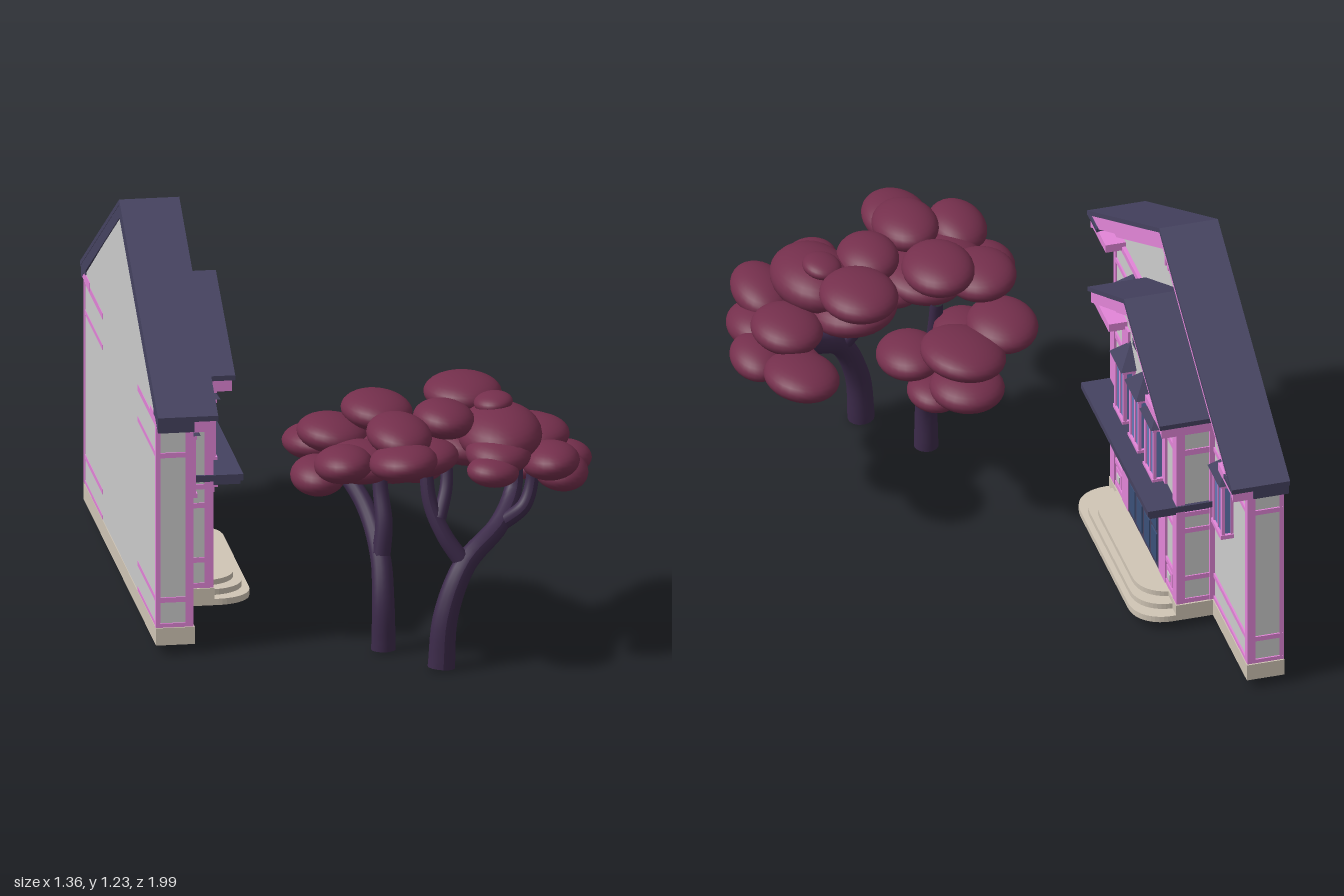
import * as THREE from 'three';

const paint = (color) => new THREE.MeshStandardMaterial({ color });
const wall = paint(0xcccccc), trim = paint(0xe285d8), slate = paint(0x454260), stone = paint(0xd0c5b5);
const glass = paint(0x6478b4), doorBlue = paint(0x3b5078), leaf = paint(0x742f4c), bark = paint(0x3c2a4a);

function add(parent, name, geometry, material) {
  const mesh = new THREE.Mesh(geometry, material);
  mesh.name = name;
  parent.add(mesh);
  return mesh;
}

// Box given by its limits on each axis
function box(parent, name, material, x0, x1, y0, y1, z0, z1) {
  const mesh = add(parent, name, new THREE.BoxGeometry(x1 - x0, y1 - y0, Math.abs(z1 - z0)), material);
  mesh.position.set((x0 + x1) / 2, (y0 + y1) / 2, (z0 + z1) / 2);
  return mesh;
}

// Outline in the facade plane (z, y), extruded from x0 to x1
function facade(parent, name, material, points, x0, x1) {
  const shape = new THREE.Shape(points.map(([u, v]) => new THREE.Vector2(u, v)));
  const geometry = new THREE.ExtrudeGeometry(shape, { depth: x1 - x0, bevelEnabled: false });
  geometry.rotateY(Math.PI / 2).translate(x0, 0, 0);
  return add(parent, name, geometry, material);
}

const chevron = (h, eave, apex, t) =>
  [[-h, eave - t], [0, apex - t], [h, eave - t], [h, eave], [0, apex], [-h, eave]];

const gableWall = (h, bottom, side, apex) =>
  [[-h, bottom], [h, bottom], [h, side], [0, apex], [-h, side]];

// Projecting window with posts, mullion, sill and pointed hood
function windowBay(parent, x, z) {
  const g = new THREE.Group();
  g.name = 'window';
  g.position.set(x, 0, z);
  parent.add(g);
  box(g, 'windowGlass', glass, -0.01, 0.033, 0.45, 0.635, -0.044, 0.044);
  for (const s of [-1, 1]) {
    box(g, 'windowPost', trim, 0.028, 0.038, 0.445, 0.64, s * 0.038, s * 0.052);
    box(g, 'windowBackPost', trim, -0.005, 0.008, 0.445, 0.64, s * 0.038, s * 0.05);
  }
  box(g, 'windowMullion', trim, 0.03, 0.036, 0.45, 0.63, -0.004, 0.004);
  box(g, 'windowSill', trim, -0.01, 0.042, 0.438, 0.452, -0.054, 0.054);
  box(g, 'windowHead', trim, -0.01, 0.04, 0.625, 0.642, -0.054, 0.054);
  const hood = new THREE.ConeGeometry(Math.SQRT1_2, 1, 4, 1).rotateY(Math.PI / 4).toNonIndexed();
  hood.scale(0.1, 0.068, 0.13).translate(0, 0.674, 0);
  hood.computeVertexNormals();
  add(g, 'windowHood', hood, slate);
}

// Rounded porch step seen in plan, reaching out to x1
function porchStep(parent, h, x1, y0, y1) {
  const x0 = -0.57, s = new THREE.Shape();
  s.moveTo(x0, h);
  s.lineTo(x1 - 0.11, h);
  s.bezierCurveTo(x1 - 0.06, h, x1, h - 0.03, x1, h - 0.11);
  s.lineTo(x1, -h + 0.11);
  s.bezierCurveTo(x1, -h + 0.03, x1 - 0.06, -h, x1 - 0.11, -h);
  s.lineTo(x0, -h);
  const geometry = new THREE.ExtrudeGeometry(s, { depth: y1 - y0, bevelEnabled: false, curveSegments: 12 });
  add(parent, 'porchStep', geometry.rotateX(-Math.PI / 2).translate(0, y0, 0), stone);
}

function buildHouse() {
  const house = new THREE.Group();
  house.name = 'house';
  house.position.z = -0.2;
  const FX = -0.57, BX = -0.455; // main wall and bay wall planes

  // Walls and plinth
  facade(house, 'mainWall', wall, gableWall(0.735, 0.07, 0.745, 1.168), -0.68, FX);
  facade(house, 'bayWall', wall, gableWall(0.36, 0.07, 0.74, 0.935), FX - 0.02, BX);
  box(house, 'plinth', stone, -0.682, -0.562, 0.025, 0.08, -0.745, 0.745);
  box(house, 'bayPlinth', stone, -0.58, -0.445, 0.025, 0.08, -0.37, 0.37);
  porchStep(house, 0.37, -0.322, 0.025, 0.045);
  porchStep(house, 0.33, -0.34, 0.045, 0.063);
  porchStep(house, 0.29, -0.36, 0.063, 0.08);

  // Roofs with painted bargeboards
  facade(house, 'mainRoof', slate, chevron(0.8, 0.772, 1.222, 0.016), -0.684, -0.498);
  facade(house, 'mainRoofCore', slate, chevron(0.79, 0.765, 1.208, 0.045), -0.683, FX);
  facade(house, 'mainBargeboard', trim, chevron(0.785, 0.767, 1.207, 0.05), FX, -0.506);
  facade(house, 'mainInnerBargeboard', trim, chevron(0.735, 0.747, 1.16, 0.035), FX, FX + 0.02);
  facade(house, 'bayRoof', slate, chevron(0.4, 0.77, 0.982, 0.016), -0.6, -0.385);
  facade(house, 'bayBargeboard', trim, chevron(0.39, 0.762, 0.967, 0.045), -0.58, -0.393);
  facade(house, 'bayInnerBargeboard', trim, chevron(0.36, 0.733, 0.926, 0.03), BX - 0.01, BX + 0.02);

  // Gable vents
  box(house, 'gableVent', trim, FX, FX + 0.012, 1.0, 1.075, -0.13, 0.13);
  box(house, 'gableVentHead', trim, FX, FX + 0.025, 1.075, 1.088, -0.14, 0.14);
  for (let i = -4; i <= 4; i++)
    box(house, 'ventSlat', trim, FX, FX + 0.02, 1.0, 1.075, i * 0.03 - 0.005, i * 0.03 + 0.005);
  const ring = add(house, 'roundVentRing', new THREE.TorusGeometry(0.037, 0.008, 8, 28).rotateY(Math.PI / 2), trim);
  ring.position.set(BX + 0.006, 0.81, 0);

  for (const s of [-1, 1]) {
    // Eave returns and corner strips
    box(house, 'eaveReturn', trim, -0.682, -0.506, 0.73, 0.757, s * 0.62, s * 0.785);
    box(house, 'eaveCap', slate, -0.683, -0.5, 0.755, 0.768, s * 0.7, s * 0.798);
    box(house, 'bayEaveReturn', trim, -0.58, -0.395, 0.73, 0.757, s * 0.2, s * 0.39);
    box(house, 'cornerStrip', trim, FX - 0.02, FX + 0.005, 0.08, 0.74, s * 0.715, s * 0.74);
    box(house, 'backCornerStrip', trim, -0.682, -0.668, 0.08, 0.74, s * 0.72, s * 0.739);
    for (const y of [0.085, 0.168, 0.632])
      box(house, 'wallBand', trim, -0.681, FX + 0.005, y - 0.008, y + 0.008, s * 0.36, s * 0.74);
    box(house, 'wallFrieze', trim, -0.681, FX + 0.012, 0.722, 0.742, s * 0.36, s * 0.742);

    // Bay pilasters, bands and panels
    box(house, 'outerPilaster', trim, BX - 0.02, BX + 0.008, 0.08, 0.74, s * 0.322, s * 0.365);
    box(house, 'innerPilaster', trim, BX - 0.02, BX + 0.008, 0.08, 0.74, s * 0.168, s * 0.237);
    box(house, 'bayInnerCornerStrip', trim, FX, FX + 0.017, 0.08, 0.74, s * 0.34, s * 0.366);
    for (const [y, t] of [[0.088, 0.008], [0.17, 0.008], [0.345, 0.008], [0.405, 0.008], [0.632, 0.01], [0.725, 0.012]])
      box(house, 'bayBand', trim, FX, BX + 0.006, y - t, y + t, s * 0.23, s * 0.364);
    box(house, 'pilasterPanel', trim, BX, BX + 0.006, 0.105, 0.155, s * 0.25, s * 0.308);
    box(house, 'pilasterPanelInset', wall, BX, BX + 0.009, 0.118, 0.142, s * 0.264, s * 0.294);

    // Stepped canopy brackets
    for (let i = 0; i < 7; i++)
      box(house, 'canopyBracket', trim, BX, BX + 0.012 * (i + 1), 0.3 + i * 0.0157, 0.412, s * 0.165, s * 0.195);

    // Louvred shutters beside the round vent
    box(house, 'shutterFrame', trim, BX, BX + 0.01, 0.735, 0.81, s * 0.045, s * 0.108);
    for (let i = 0; i < 5; i++)
      box(house, 'shutterSlat', slate, BX, BX + 0.014, 0.743 + i * 0.013, 0.75 + i * 0.013, s * 0.052, s * 0.1);
    windowBay(house, FX, s * 0.52);
    windowBay(house, BX, s * 0.165);
  }
  windowBay(house, BX, 0);

  // Canopy and entrance
  box(house, 'canopy', slate, FX, -0.363, 0.408, 0.428, -0.36, 0.36);
  box(house, 'canopyTop', slate, FX, -0.355, 0.422, 0.442, -0.37, 0.37);
  box(house, 'doorFrame', slate, BX, BX + 0.006, 0.08, 0.41, -0.168, 0.168);
  for (let i = 0; i < 4; i++) {
    const z = -0.12 + i * 0.08;
    box(house, 'doorPanel', doorBlue, BX, BX + 0.01, 0.1, 0.2, z - 0.028, z + 0.028);
    box(house, 'doorPanel', doorBlue, BX, BX + 0.01, 0.215, 0.33, z - 0.028, z + 0.028);
    box(house, 'transomPane', doorBlue, BX, BX + 0.01, 0.345, 0.395, z - 0.028, z + 0.028);
  }
  box(house, 'porchLamp', slate, BX, BX + 0.05, 0.355, 0.385, -0.01, 0.01);
  return house;
}

// Round limb whose radius runs from r0 to r1 along the curve
function limb(parent, name, points, r0, r1) {
  const curve = new THREE.CatmullRomCurve3(points.map((p) => new THREE.Vector3(...p)));
  const rings = 24, sides = 14;
  const geometry = new THREE.TubeGeometry(curve, rings, 1, sides);
  const pos = geometry.attributes.position, v = new THREE.Vector3();
  for (let i = 0; i < pos.count; i++) {
    const t = Math.floor(i / (sides + 1)) / rings, c = curve.getPointAt(t);
    v.fromBufferAttribute(pos, i).sub(c).multiplyScalar(r0 + (r1 - r0) * t).add(c);
    pos.setXYZ(i, v.x, v.y, v.z);
  }
  geometry.computeVertexNormals();
  add(parent, name, geometry, bark);
  const cap = add(parent, name + 'End', new THREE.CircleGeometry(r0, sides).rotateX(Math.PI / 2), bark);
  cap.position.set(...points[0]);
}

function tree(name, limbs, clumps) {
  const g = new THREE.Group();
  g.name = name;
  limbs.forEach(([points, r0, r1], i) => limb(g, i ? 'branch' : 'trunk', points, r0, r1));
  const ball = new THREE.SphereGeometry(1, 28, 18);
  clumps.forEach(([x, y, z, rx = 0.11, rz = 0.13, ry = 0.056], i) => {
    const m = add(g, 'foliage', ball, leaf);
    m.position.set(x, y, z);
    m.scale.set(rx, ry, rz);
    m.rotation.set(0.08 * Math.sin(i * 2.1), 0, 0.1 * Math.sin(i * 1.7));
  });
  return g;
}

export function createModel() {
  const model = new THREE.Group();
  model.name = 'houseWithTrees';
  model.add(buildHouse());

  model.add(tree('leftTree', [
    [[[0.012, 0, 0.605], [0.012, 0.15, 0.6], [0.012, 0.28, 0.54], [-0.02, 0.41, 0.42], [-0.1, 0.53, 0.3]], 0.038, 0.024],
    [[[0.012, 0.27, 0.545], [0.025, 0.38, 0.53], [0.02, 0.48, 0.49], [0.02, 0.62, 0.46]], 0.03, 0.02],
  ], [
    [0.01, 0.5, 0.16, 0.115, 0.125], [0.0, 0.57, 0.24, 0.13, 0.16], [-0.15, 0.59, 0.33], [-0.13, 0.67, 0.5, 0.11, 0.13],
    [-0.2, 0.59, 0.67, 0.085, 0.11], [-0.14, 0.66, 0.79, 0.09, 0.12], [0.01, 0.73, 0.48, 0.11, 0.14],
    [0.04, 0.73, 0.74, 0.1, 0.14], [0.035, 0.68, 0.86, 0.105, 0.13], [0.1, 0.46, 0.22, 0.08, 0.1, 0.045],
    [0.14, 0.52, 0.35, 0.1, 0.13], [-0.05, 0.54, 0.38, 0.1, 0.13], [0.03, 0.63, 0.6, 0.13, 0.15], [-0.07, 0.63, 0.68, 0.11, 0.13],
  ]));

  model.add(tree('rightTree', [
    [[[0.16, 0, 0.81], [0.175, 0.16, 0.8], [0.24, 0.31, 0.76], [0.36, 0.4, 0.66], [0.42, 0.48, 0.56], [0.43, 0.56, 0.53]], 0.042, 0.026],
    [[[0.24, 0.31, 0.76], [0.18, 0.4, 0.74], [0.14, 0.5, 0.71], [0.13, 0.64, 0.68]], 0.028, 0.02],
    [[[0.36, 0.4, 0.66], [0.44, 0.45, 0.64], [0.47, 0.53, 0.62], [0.47, 0.6, 0.62]], 0.026, 0.018],
    [[[0.165, 0.45, 0.73], [0.195, 0.54, 0.68], [0.2, 0.64, 0.64]], 0.022, 0.018],
  ], [
    [0.29, 0.745, 0.385, 0.12, 0.14], [0.505, 0.56, 0.27, 0.115, 0.14], [0.6, 0.54, 0.44, 0.08, 0.11, 0.05],
    [0.2, 0.73, 0.6, 0.095, 0.12], [0.37, 0.68, 0.61, 0.13, 0.18, 0.08], [0.515, 0.61, 0.69, 0.09, 0.13],
    [0.32, 0.62, 0.81, 0.08, 0.08, 0.045], [0.56, 0.55, 0.6, 0.085, 0.12], [0.13, 0.62, 0.63, 0.11, 0.14],
    [0.5, 0.62, 0.45, 0.11, 0.13], [0.28, 0.63, 0.5, 0.14, 0.16, 0.065], [0.5, 0.51, 0.4, 0.1, 0.12, 0.045],
    [0.36, 0.76, 0.55, 0.06, 0.07, 0.03], [0.35, 0.65, 0.72, 0.1, 0.12],
  ]));
  return model;
}
